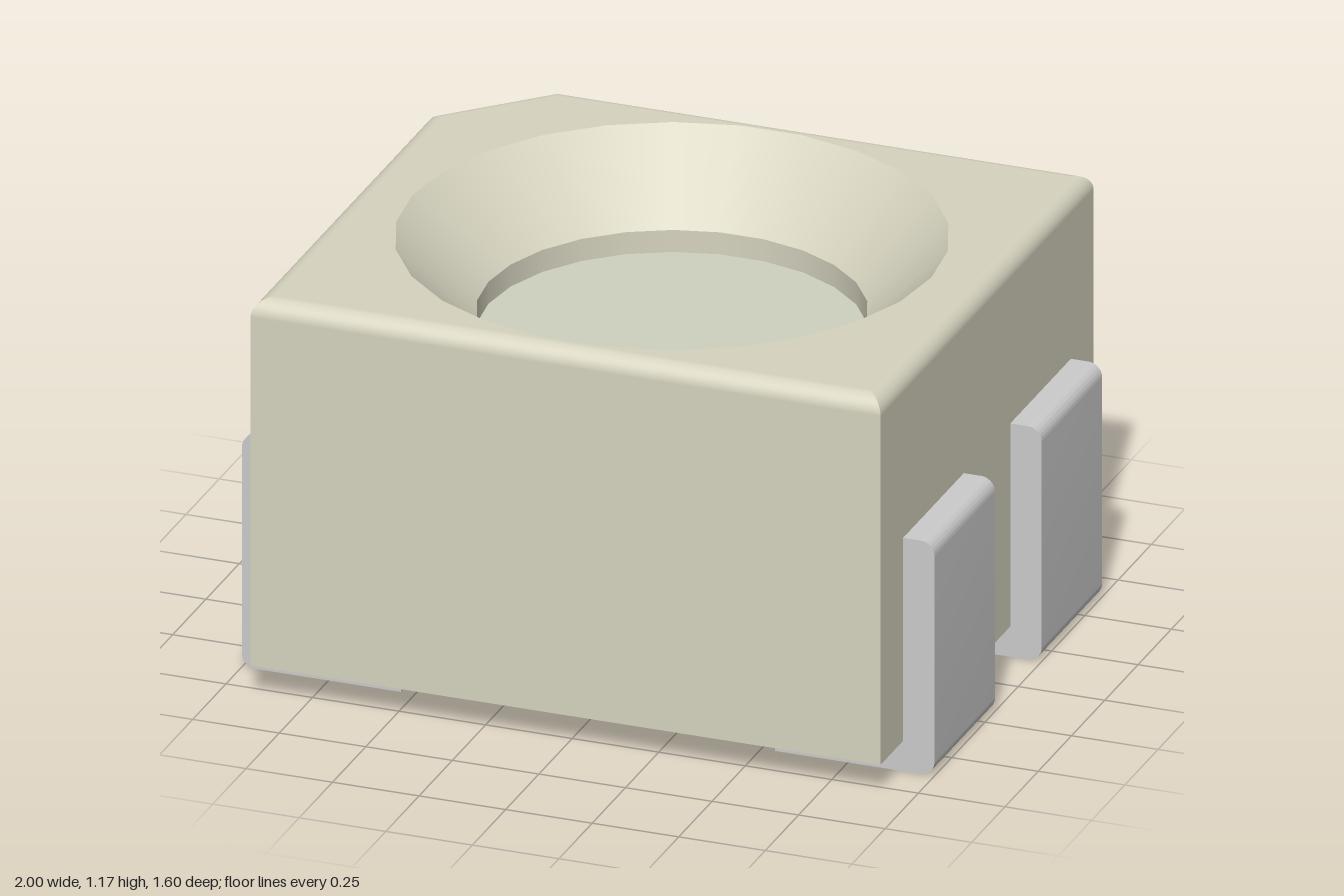
import * as THREE from 'three';
import { toCreasedNormals } from 'three/addons/utils/BufferGeometryUtils.js';

const bodyMat = new THREE.MeshStandardMaterial({ color: 0xd6d3bf });
const lensMat = new THREE.MeshStandardMaterial({ color: 0xd0d2bf });
const leadMat = new THREE.MeshStandardMaterial({ color: 0xc0c0bc });

const W = 0.91, D = 0.8, BASE = 0.09, TOP = 1.17, LEDGE = 0.95, FLOOR = 0.885;
const FILLET = 0.05, CUT = 0.27, SIDES = 26, R_TOP = 0.75, R_LOW = 0.53;

function add(parent, name, geometry, material) {
  const mesh = new THREE.Mesh(geometry, material);
  mesh.name = name;
  parent.add(mesh);
  return mesh;
}

// Outward normal of edge i of a counter-clockwise plan outline (plan y = -z)
function edgeNormal(poly, i) {
  const n = poly.length;
  const d = poly[(i + 1) % n].clone().sub(poly[(i + n) % n]).normalize();
  return new THREE.Vector2(d.y, -d.x);
}

// Outline moved inwards by t with mitred corners
function inset(poly, t) {
  return poly.map((p, i) => {
    const a = edgeNormal(poly, (i + poly.length - 1) % poly.length);
    const b = edgeNormal(poly, i);
    return p.clone().addScaledVector(a.clone().add(b), -t / (1 + a.dot(b)));
  });
}

// Walls through layers of { y, t: inset, a: tilt of the normal }
function walls(poly, layers) {
  const pos = [], nor = [];
  const rings = layers.map((l) => inset(poly, l.t));
  for (let k = 0; k + 1 < layers.length; k++) {
    for (let i = 0; i < poly.length; i++) {
      const j = (i + 1) % poly.length, n = edgeNormal(poly, i);
      for (const [r, c] of [[k, i], [k, j], [k + 1, j], [k, i], [k + 1, j], [k + 1, i]]) {
        const p = rings[r][c], { y, a } = layers[r];
        pos.push(p.x, y, -p.y);
        nor.push(n.x * Math.cos(a), Math.sin(a), -n.y * Math.cos(a));
      }
    }
  }
  const g = new THREE.BufferGeometry();
  g.setAttribute('position', new THREE.Float32BufferAttribute(pos, 3));
  g.setAttribute('normal', new THREE.Float32BufferAttribute(nor, 3));
  return g;
}

const flat = (shape, y) => new THREE.ShapeGeometry(shape).rotateX(-Math.PI / 2).translate(0, y, 0);

function ring(r0, y0, r1, y1) {
  const profile = [new THREE.Vector2(r0, y0), new THREE.Vector2(r1, y1)];
  return new THREE.LatheGeometry(profile, SIDES, Math.PI / 2);
}

function createBody() {
  const body = new THREE.Group();
  body.name = 'housing';
  const v = (x, y) => new THREE.Vector2(x, y);
  const rect = [v(-W, -D), v(W, -D), v(W, D), v(-W, D)];
  const cut = [v(-W, -D), v(W, -D), v(W, D), v(-W + CUT, D), v(-W, D - CUT)];

  // Lower walls, underside and the ledge of the cut corner
  add(body, 'lowerWalls', walls(rect, [{ y: BASE, t: 0, a: 0 }, { y: LEDGE, t: 0, a: 0 }]), bodyMat);
  add(body, 'underside', new THREE.PlaneGeometry(2 * W, 2 * D).rotateX(Math.PI / 2).translate(0, BASE, 0), bodyMat);
  add(body, 'cornerLedge', flat(new THREE.Shape([cut[4], cut[3], rect[3]]), LEDGE), bodyMat);

  // Upper walls with a rounded top edge
  const layers = [{ y: LEDGE, t: 0, a: 0 }];
  for (let i = 0; i <= 8; i++) {
    const a = (i / 8) * Math.PI / 2;
    layers.push({ y: TOP - FILLET * (1 - Math.sin(a)), t: FILLET * (1 - Math.cos(a)), a });
  }
  add(body, 'upperWalls', walls(cut, layers), bodyMat);

  // Top face with the round opening
  const top = new THREE.Shape(inset(cut, FILLET));
  const hole = [];
  for (let i = 0; i < SIDES; i++) {
    const a = (-i / SIDES) * Math.PI * 2;
    hole.push(v(R_TOP * Math.cos(a), R_TOP * Math.sin(a)));
  }
  top.holes.push(new THREE.Path(hole));
  add(body, 'topFace', flat(top, TOP), bodyMat);

  // Conical bowl, its short straight wall and the floor
  add(body, 'reflectorCone', ring(R_TOP, TOP, R_LOW, LEDGE), bodyMat);
  add(body, 'reflectorWall', ring(R_LOW, LEDGE, R_LOW, FLOOR), bodyMat);
  add(body, 'reflectorFloor', new THREE.CircleGeometry(R_LOW, SIDES).rotateX(-Math.PI / 2).translate(0, FLOOR, 0), lensMat);
  return body;
}

// L-shaped terminal with rounded outer bends
function leadGeometry() {
  const r = 0.04, h = 0.69;
  const s = new THREE.Shape();
  s.moveTo(0.54, 0);
  s.lineTo(1 - r, 0);
  s.absarc(1 - r, r, r, -Math.PI / 2, 0, false);
  s.lineTo(1, h - r);
  s.absarc(1 - r, h - r, r, 0, Math.PI / 2, false);
  s.lineTo(W, h);
  s.lineTo(W, BASE);
  s.lineTo(0.54, BASE);
  s.closePath();
  const g = new THREE.ExtrudeGeometry(s, { depth: 0.455, bevelEnabled: false, curveSegments: 10 });
  return toCreasedNormals(g, 0.4);
}

export function createModel() {
  const model = new THREE.Group();
  model.name = 'surfaceMountLamp';
  model.add(createBody());

  // Two leads per side, the second side turned half way round
  const lead = leadGeometry();
  for (const [side, turn] of [['left', 0], ['right', Math.PI]]) {
    const pair = new THREE.Group();
    pair.name = side + 'Leads';
    for (const z of [-0.63, 0.175]) {
      add(pair, side + 'Lead', lead, leadMat).position.z = z;
    }
    pair.rotation.y = turn;
    model.add(pair);
  }
  return model;
}
